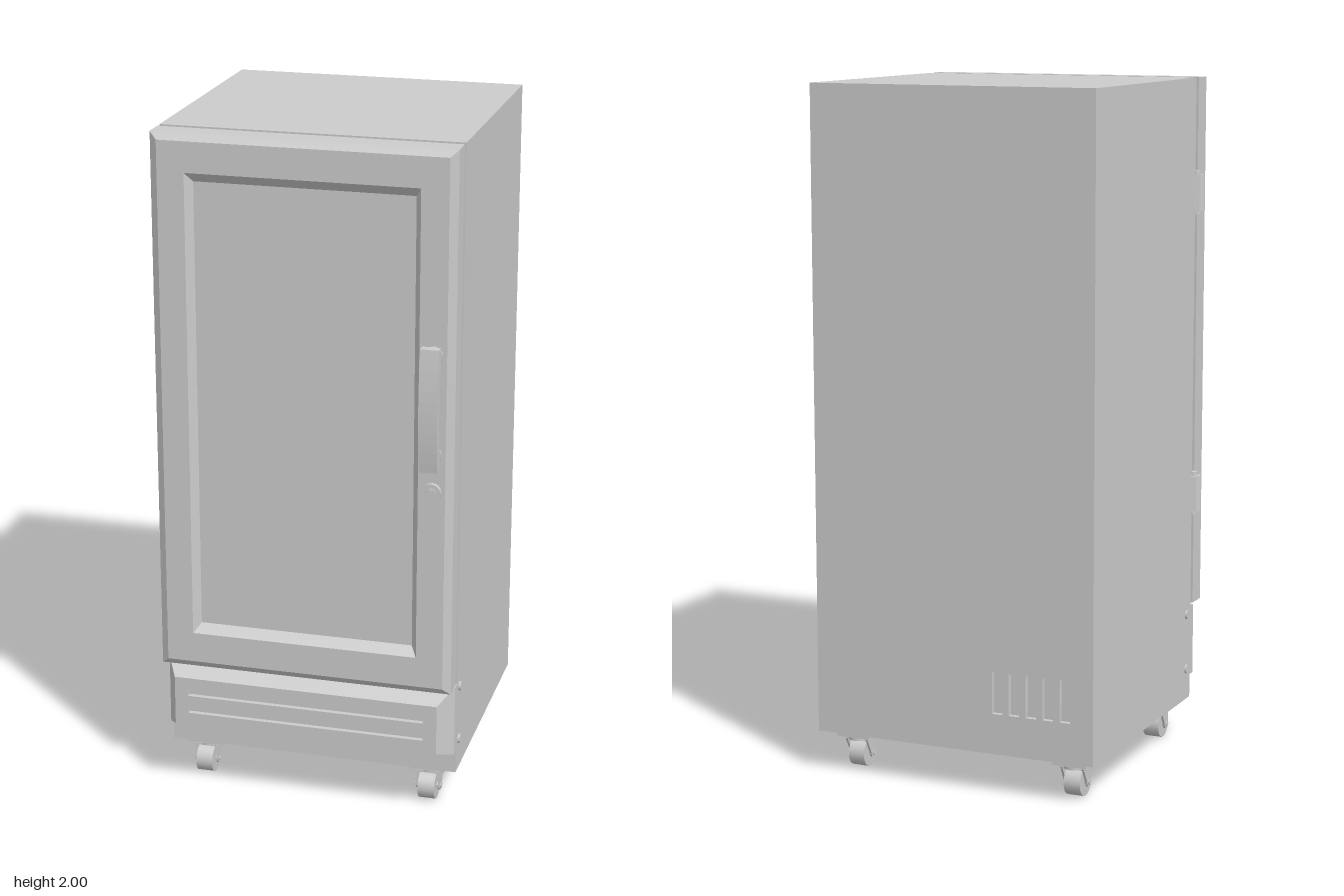
import * as THREE from 'three';

const X0 = -0.425, X1 = 0.441, XC = (X0 + X1) / 2, W = X1 - X0;
const mat = new THREE.MeshStandardMaterial({ color: 0xcccccc, side: THREE.DoubleSide });
const flat = new THREE.MeshStandardMaterial({ color: 0xcccccc, flatShading: true });

function add(parent, name, geometry, x = 0, y = 0, z = 0, material = mat) {
  const m = new THREE.Mesh(geometry, material);
  m.name = name;
  m.position.set(x, y, z);
  parent.add(m);
  return m;
}

// Box given by its limits
function block(parent, name, x0, x1, y0, y1, z0, z1) {
  return add(parent, name, new THREE.BoxGeometry(x1 - x0, y1 - y0, z1 - z0),
    (x0 + x1) / 2, (y0 + y1) / 2, (z0 + z1) / 2);
}

// Rectangular rings [x0, x1, y0, y1, z] joined in order, with a back cap and optional front cap
function loft(rings, frontCap) {
  const loops = rings.map(([a, b, c, d, z]) => [[a, c, z], [b, c, z], [b, d, z], [a, d, z]]);
  const pos = [];
  const quad = (a, b, c, d) => pos.push(...a, ...b, ...c, ...a, ...c, ...d);
  for (let k = 0; k < loops.length - 1; k++) {
    const p = loops[k], q = loops[k + 1];
    for (let i = 0; i < 4; i++) quad(p[i], p[(i + 1) % 4], q[(i + 1) % 4], q[i]);
  }
  const [a, b, c, d] = loops[0];
  quad(d, c, b, a);
  if (frontCap) quad(...loops[loops.length - 1]);
  const g = new THREE.BufferGeometry();
  g.setAttribute('position', new THREE.Float32BufferAttribute(pos, 3));
  g.computeVertexNormals();
  return g;
}

// Flat plate with rectangular slots, all given as [x0, x1, y0, y1]
function slottedPlate(outer, slots, depth) {
  const trace = (path, [a, b, c, d]) => {
    path.moveTo(a, c); path.lineTo(b, c); path.lineTo(b, d); path.lineTo(a, d); path.closePath();
    return path;
  };
  const shape = trace(new THREE.Shape(), outer);
  slots.forEach(s => shape.holes.push(trace(new THREE.Path(), s)));
  return new THREE.ExtrudeGeometry(shape, { depth, bevelEnabled: false });
}

function cylinder(r, h, axis = 'y', sides = 20) {
  const g = new THREE.CylinderGeometry(r, r, h, sides);
  if (axis === 'x') g.rotateZ(Math.PI / 2);
  if (axis === 'z') g.rotateX(Math.PI / 2);
  return g;
}

// Swivel caster around its mounting plate
function caster(x, z) {
  const g = new THREE.Group();
  g.name = 'caster';
  g.position.set(x, 0, z);
  add(g, 'casterPlate', new THREE.BoxGeometry(0.105, 0.022, 0.09), 0, 0.11, 0);
  add(g, 'casterSwivel', cylinder(0.033, 0.016), 0, 0.094, 0);
  add(g, 'forkTop', new THREE.BoxGeometry(0.072, 0.006, 0.05), 0, 0.087, 0.005);
  // Fork cheeks taper from the swivel down to the axle
  const cheek = new THREE.Shape();
  cheek.moveTo(-0.022, 0.088);
  cheek.lineTo(0.03, 0.088);
  cheek.lineTo(0.032, 0.04);
  cheek.absarc(0.018, 0.042, 0.014, 0, -Math.PI, true);
  const cheekGeo = new THREE.ExtrudeGeometry(cheek, { depth: 0.006, bevelEnabled: false, curveSegments: 8 });
  cheekGeo.rotateY(-Math.PI / 2);
  for (const cx of [-0.03, 0.036]) add(g, 'forkCheek', cheekGeo, cx, 0, 0);
  add(g, 'wheel', cylinder(0.042, 0.05, 'x', 20), 0, 0.042, 0.018);
  add(g, 'axle', cylinder(0.008, 0.078, 'x', 10), 0, 0.042, 0.018);
  return g;
}

export function createModel() {
  const model = new THREE.Group();
  model.name = 'uprightCooler';

  // Cabinet with a vented back
  block(model, 'cabinet', X0, X1, 0.12, 2, -0.455, 0.305);
  const vents = [];
  for (let i = 0; i < 5; i++) {
    const x = -0.132 - i * 0.052;
    vents.push([x - 0.016, x + 0.016, 0.238, 0.36]);
  }
  add(model, 'backPanel', slottedPlate([X0, X1, 0.12, 2], vents, 0.015), 0, 0, -0.47);

  // Door: bevelled frame with a recessed window panel
  block(model, 'doorGasket', -0.408, 0.423, 0.425, 1.985, 0.304, 0.326);
  add(model, 'door', loft([
    [X0, X1, 0.41, 2, 0.325],
    [X0, X1, 0.41, 2, 0.39],
    [X0 + 0.022, X1 - 0.022, 0.43, 1.98, 0.405],
    [-0.325, 0.341, 0.52, 1.892, 0.405],
    [-0.306, 0.323, 0.546, 1.864, 0.38],
  ], true));

  // Bowed handle on two posts
  const bow = new THREE.Shape();
  bow.moveTo(0.432, 1.105);
  bow.lineTo(0.458, 1.105);
  bow.quadraticCurveTo(0.484, 1.2825, 0.458, 1.46);
  bow.lineTo(0.432, 1.46);
  bow.lineTo(0.432, 1.41);
  bow.quadraticCurveTo(0.457, 1.2825, 0.432, 1.155);
  const bowGeo = new THREE.ExtrudeGeometry(bow, { depth: 0.053, bevelEnabled: false, curveSegments: 12 });
  bowGeo.rotateY(-Math.PI / 2);
  add(model, 'handle', bowGeo, 0.408, 0, 0);
  for (const y of [1.14, 1.428]) {
    add(model, 'handlePost', cylinder(0.016, 0.04, 'z'), 0.382, y, 0.42);
    add(model, 'handlePostBase', cylinder(0.026, 0.008, 'z'), 0.382, y, 0.408);
  }

  // Door lock with key slot
  add(model, 'lock', cylinder(0.027, 0.014, 'z', 24), 0.382, 1.03, 0.411);
  add(model, 'lockCore', cylinder(0.015, 0.006, 'z', 16), 0.382, 1.03, 0.419);
  add(model, 'keySlot', new THREE.BoxGeometry(0.006, 0.024, 0.004), 0.382, 1.03, 0.422);

  // Hinges
  for (const y of [0.755, 1.662]) {
    add(model, 'hingeBarrel', cylinder(0.024, 0.108, 'y', 8), X0, y, 0.315, flat);
    add(model, 'hingePin', cylinder(0.013, 0.13), X0, y, 0.315);
  }

  // Bevelled grille cover with two slots
  add(model, 'grilleCover', loft([
    [X0, X1, 0.19, 0.405, 0.3],
    [X0, X1, 0.19, 0.405, 0.33],
    [-0.388, 0.402, 0.218, 0.368, 0.396],
  ], false));
  const slots = [0.27, 0.325].map(y => [-0.348, 0.361, y - 0.014, y + 0.014]);
  add(model, 'grilleFace', slottedPlate([-0.388, 0.402, 0.218, 0.368], slots, 0.015), 0, 0, 0.381);
  block(model, 'grilleBacking', -0.37, 0.384, 0.235, 0.355, 0.375, 0.381);

  // Side screws holding the cover
  for (const side of [-1, 1]) for (const y of [0.215, 0.385]) {
    add(model, 'coverScrew', cylinder(0.014, 0.012, 'x', 12), XC + side * W / 2, y, 0.272);
  }

  // Casters
  for (const x of [-0.337, 0.349]) for (const z of [0.23, -0.388]) model.add(caster(x, z));

  return model;
}
